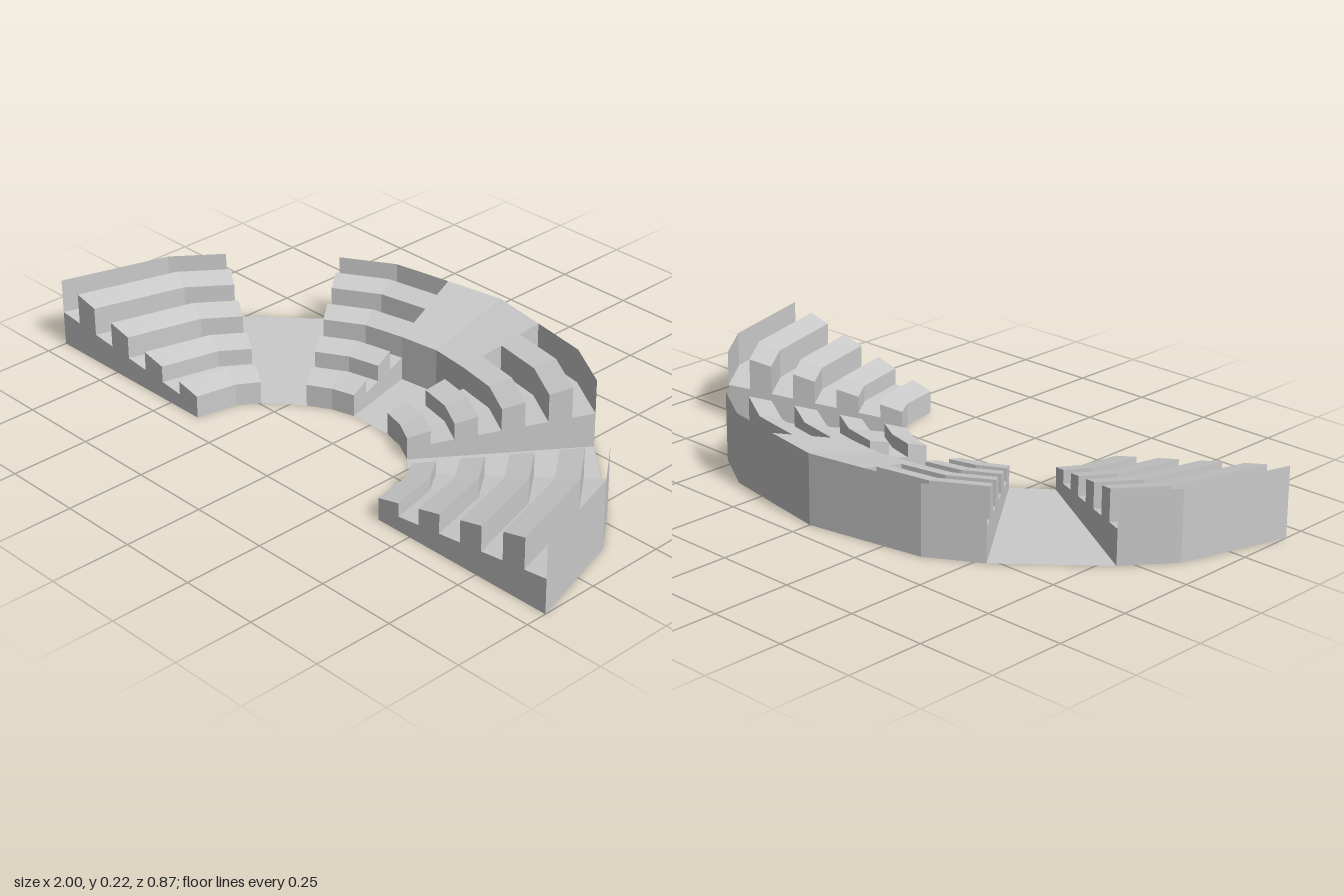
import * as THREE from 'three';

// Stations of the right half, from the middle round to the open end:
// [inner x, inner z, outer x, outer z]
const half = [
  [0.07, 0.10, 0.186, -0.402],
  [0.142, 0.12, 0.373, -0.369],
  [0.21, 0.158, 0.53, -0.275],
  [0.315, 0.243, 0.79, -0.04],
  [0.355, 0.305, 0.90, 0.10],
  [0.38, 0.432, 1.0, 0.433],
];
const middle = [0, 0.10, 0, -0.434];
const mirror = (list) => list.map(([a, b, c, d]) => [-a, b, -c, d]).reverse();

// Rows are numbered 0 (inner edge) to 8 (outer edge); both surfaces rise outwards
const ROWS = 8;
const benchY = (k) => 0.07 + 0.0183 * k;
const floorY = (k) => 0.037 + 0.009 * k;

// Place row k, height y on a station
const at = ([ix, iz, ox, oz], [k, y]) => {
  const t = k / ROWS;
  return [ix + (ox - ix) * t, y, iz + (oz - iz) * t];
};

const material = new THREE.MeshStandardMaterial({
  color: 0xcccccc, flatShading: true, side: THREE.DoubleSide,
});

// Sweep a (row, height) profile through stations and cap both ends
function sweep(name, stations, profile, cap = profile) {
  const pos = [];
  const tri = (a, b, c) => pos.push(...a, ...b, ...c);
  for (let i = 0; i < stations.length - 1; i++) {
    const s = stations[i], e = stations[i + 1];
    for (let j = 0; j < profile.length - 1; j++) {
      const p = profile[j], q = profile[j + 1];
      tri(at(s, p), at(e, p), at(e, q));
      tri(at(s, p), at(e, q), at(s, q));
    }
  }
  const contour = cap.map(([k, y]) => new THREE.Vector2(k, y));
  const first = stations[0], last = stations[stations.length - 1];
  for (const face of THREE.ShapeUtils.triangulateShape(contour, [])) {
    const [a, b, c] = face.map((n) => cap[n]);
    tri(at(last, a), at(last, b), at(last, c));
    tri(at(first, a), at(first, c), at(first, b));
  }
  const geo = new THREE.BufferGeometry();
  geo.setAttribute('position', new THREE.Float32BufferAttribute(pos, 3));
  geo.computeVertexNormals();
  const mesh = new THREE.Mesh(geo, material);
  mesh.name = name;
  return mesh;
}

export function createModel() {
  const group = new THREE.Group();
  group.name = 'amphitheatre';

  // Alternating raised benches and lower walkways
  const steps = [[0, 0]];
  for (let k = 0; k < ROWS; k += 2) {
    steps.push([k, benchY(k)], [k + 1, benchY(k + 1)], [k + 1, floorY(k + 1)], [k + 2, floorY(k + 2)]);
  }
  const stepsCap = [...steps, [ROWS, 0]];
  const inner = half.slice(0, 3), wing = half.slice(3);
  group.add(
    sweep('leftCentreSeating', inner, steps, stepsCap),
    sweep('rightCentreSeating', mirror(inner), steps, stepsCap),
    sweep('leftWingSeating', wing, steps, stepsCap),
    sweep('rightWingSeating', mirror(wing), steps, stepsCap),
  );

  // Sloping landing behind the middle entrance
  const landing = [[4, 0], [4, benchY(4)], [ROWS, benchY(ROWS)]];
  const centre = [...mirror(half.slice(0, 1)), middle, half[0]];
  group.add(sweep('centreLanding', centre, landing, [...landing, [ROWS, 0]]));

  // Thin outer wall, standing above the last walkway
  const wall = [[ROWS, benchY(ROWS)], [ROWS, 0]];
  group.add(
    sweep('centreOuterWall', [...mirror(inner), middle, ...inner], wall),
    sweep('leftOuterWall', wing, wall),
    sweep('rightOuterWall', mirror(wing), wall),
  );

  // Ground sheet, which is also the floor of the aisles
  const all = [...mirror(half), middle, ...half];
  const outline = [
    ...all.map((s) => new THREE.Vector2(s[2], -s[3])),
    ...[...all].reverse().map((s) => new THREE.Vector2(s[0], -s[1])),
  ];
  const sheet = new THREE.ShapeGeometry(new THREE.Shape(outline));
  sheet.rotateX(-Math.PI / 2);
  const ground = new THREE.Mesh(sheet, material);
  ground.name = 'aisleFloor';
  group.add(ground);

  return group;
}
